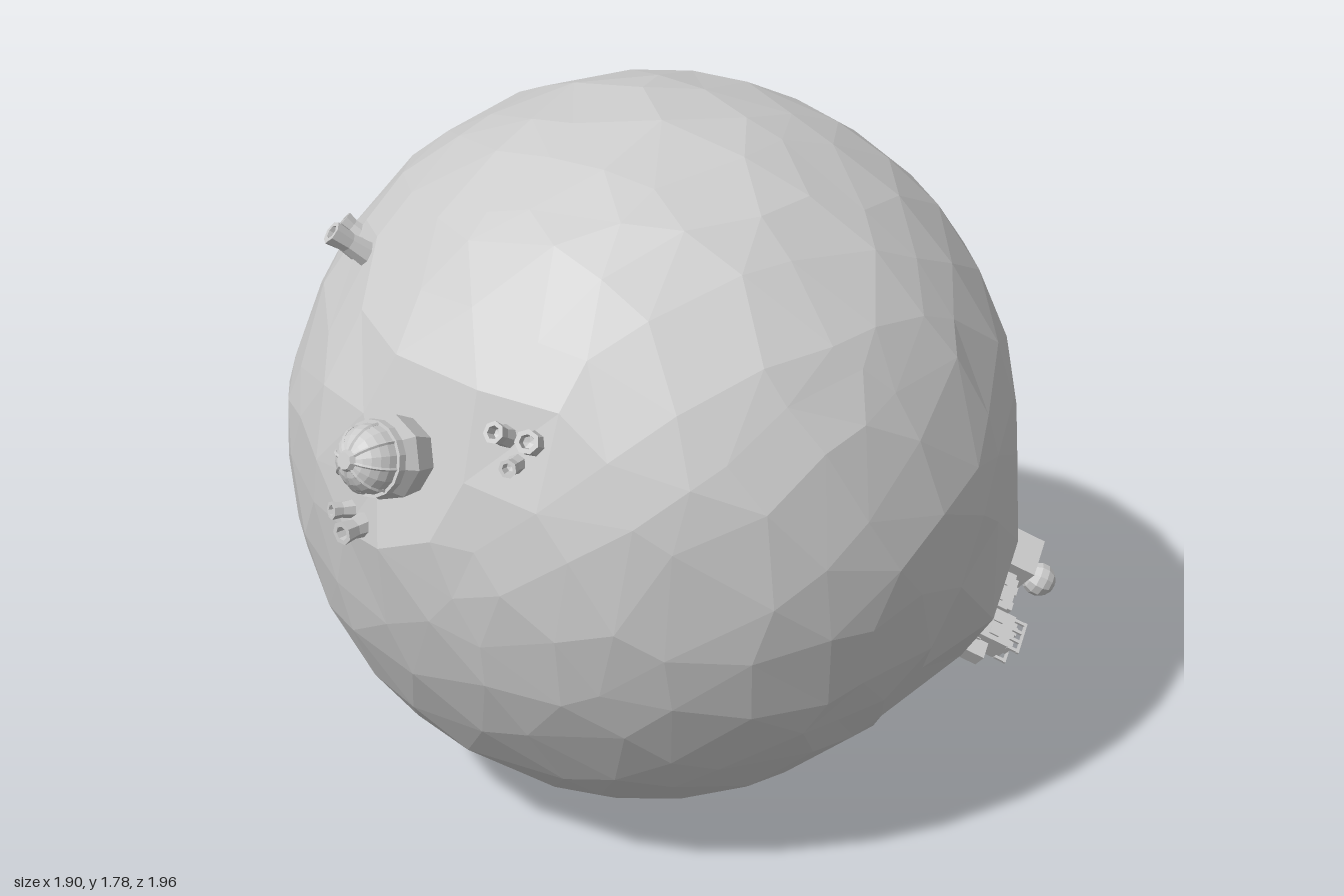
import * as THREE from 'three';

const CENTER = new THREE.Vector3(0.06, 0.89, 0.11);
const RADIUS = 0.89;
const UP = new THREE.Vector3(0, 1, 0);
const flat = new THREE.MeshStandardMaterial({ color: 0xcccccc, flatShading: true, side: THREE.DoubleSide });

const unit = (x, y, z) => new THREE.Vector3(x, y, z).normalize();
// The three raised plateaus: outward normal, height above the centre, angular size
const SITES = {
  dome: { n: unit(-0.93, 0.3, 0.2), h: 0.88, a: 0.3 },
  radio: { n: unit(0.24, -0.29, -0.9), h: 0.905, a: 0.31 },
  colony: { n: unit(0.68, -0.45, 0.58), h: 0.9, a: 0.32 },
};

function mesh(name, geometry, parent, x = 0, y = 0, z = 0) {
  const m = new THREE.Mesh(geometry, flat);
  m.name = name;
  m.position.set(x, y, z);
  parent.add(m);
  return m;
}
const box = (name, p, w, h, d, x, y, z) => mesh(name, new THREE.BoxGeometry(w, h, d), p, x, y, z);
const rod = (name, p, r1, r2, h, x, y, z, n = 8) => mesh(name, new THREE.CylinderGeometry(r1, r2, h, n), p, x, y, z);
const ball = (name, p, r, x, y, z) => mesh(name, new THREE.SphereGeometry(r, 10, 7), p, x, y, z);

// Group whose y axis follows a normal and whose z axis points uphill
function anchor(name, point, normal, twist = 0) {
  const g = new THREE.Group();
  g.name = name;
  const uphill = UP.clone().addScaledVector(normal, -normal.y).normalize();
  const side = normal.clone().cross(uphill);
  g.quaternion.setFromRotationMatrix(new THREE.Matrix4().makeBasis(side, normal, uphill));
  g.rotateY(twist);
  g.position.copy(point);
  return g;
}
const siteAnchor = (name, s, twist) => anchor(name, CENTER.clone().addScaledVector(s.n, s.h), s.n, twist);

// Repeatable noise from a position, so shared corners move together
function noise(v, k) {
  const q = Math.round(v.x * 500) * 12.9898 + Math.round(v.y * 500) * 78.233 + Math.round(v.z * 500) * 37.719 + k * 11.3;
  const s = Math.sin(q) * 43758.5453;
  return s - Math.floor(s) - 0.5;
}

// Faceted planetoid with the sites flattened into low plateaus
function planetoid() {
  const g = new THREE.IcosahedronGeometry(1, 5);
  const pos = g.attributes.position;
  const v = new THREE.Vector3();
  for (let i = 0; i < pos.count; i++) {
    v.fromBufferAttribute(pos, i);
    const j = [0, 1, 2].map((k) => noise(v, k) * 0.12);
    v.set(v.x + j[0], v.y + j[1], v.z + j[2]).normalize();
    let r = RADIUS + j[0] * 0.08;
    for (const s of Object.values(SITES)) {
      const c = v.dot(s.n);
      if (c > Math.cos(s.a)) r = s.h / c;
    }
    v.multiplyScalar(r).add(CENTER);
    pos.setXYZ(i, v.x, v.y, v.z);
  }
  g.computeVertexNormals();
  return g;
}

// Hollow, slightly flared chimney
function vent(parent, x, z, r, h, lean = 0) {
  const pts = [[r * 1.25, -0.03], [r * 0.85, h * 0.55], [r, h], [r * 0.6, h], [r * 0.5, h * 0.6], [0, h * 0.55]];
  const m = mesh('vent', new THREE.LatheGeometry(pts.map((p) => new THREE.Vector2(...p)), 7), parent, x, 0, z);
  m.rotation.set(z * lean, 0, -x * lean);
}

// Cluster of chimneys growing from the surface below a point
function ventCluster(x, y, z, list) {
  const n = new THREE.Vector3(x, y, z).sub(CENTER).normalize();
  const g = anchor('ventCluster', CENTER.clone().addScaledVector(n, RADIUS - 0.012), n);
  for (const [vx, vz, r, h] of list) vent(g, vx, vz, r, h, 6);
  return g;
}

// Ribbed observatory dome on a faceted drum
function observatory() {
  const g = siteAnchor('observatory', SITES.dome);
  rod('drumFoot', g, 0.1, 0.085, 0.07, 0, 0.025, 0);
  rod('drumTop', g, 0.085, 0.1, 0.035, 0, 0.0775, 0);
  rod('collar', g, 0.088, 0.088, 0.02, 0, 0.103, 0, 16);
  mesh('dome', new THREE.SphereGeometry(0.08, 16, 6, 0, Math.PI * 2, 0, Math.PI / 2), g, 0, 0.112, 0);
  for (let i = 0; i < 4; i++) {
    const rib = mesh('domeRib', new THREE.TorusGeometry(0.08, 0.004, 4, 12, Math.PI), g, 0, 0.112, 0);
    rib.rotation.y = (i * Math.PI) / 4;
  }
  rod('domeCap', g, 0.02, 0.028, 0.015, 0, 0.192, 0);
  return g;
}

// Landing pad, block house, antenna tower and small tank
function radioStation() {
  const g = siteAnchor('radioStation', SITES.radio);
  const pad = rod('landingPad', g, 0.08, 0.07, 0.025, 0, 0.03, 0.08, 20);
  const rim = mesh('padRim', new THREE.TorusGeometry(0.076, 0.006, 4, 20), pad, 0, 0.013, 0);
  rim.rotation.x = Math.PI / 2;
  rod('padStem', g, 0.03, 0.04, 0.04, 0, 0.005, 0.08);
  box('blockHouse', g, 0.13, 0.1, 0.09, -0.04, 0.03, -0.09);
  box('roofHatch', g, 0.035, 0.012, 0.05, 0.0, 0.085, -0.09);
  const t = new THREE.Group();
  t.name = 'antennaTower';
  t.position.set(-0.06, 0.08, -0.09);
  g.add(t);
  rod('towerShaft', t, 0.018, 0.024, 0.08, 0, 0.03, 0);
  rod('towerDeck', t, 0.036, 0.026, 0.022, 0, 0.06, 0);
  rod('towerHead', t, 0.02, 0.03, 0.025, 0, 0.085, 0);
  rod('needle', t, 0.002, 0.004, 0.085, 0, 0.135, 0, 5);
  rod('tankMast', g, 0.008, 0.008, 0.06, 0.035, 0.1, -0.1, 6);
  ball('tank', g, 0.03, 0.035, 0.13, -0.1);
  return g;
}

// Row of linked modules with windows, a round tank and a chimney
function colony() {
  const g = siteAnchor('colony', SITES.colony, 0.62);
  box('mainHall', g, 0.1, 0.14, 0.11, -0.125, 0.05, 0.01);
  rod('tankSeat', g, 0.025, 0.03, 0.02, -0.115, 0.125, -0.015);
  ball('roundTank', g, 0.043, -0.115, 0.16, -0.015);
  box('corridor', g, 0.26, 0.05, 0.045, 0, 0.025, 0);
  [[-0.015, 0.1, 0.09], [0.085, 0.085, 0.12]].forEach(([x, w, h]) => {
    box('module', g, w, h, 0.085, x, h / 2 - 0.005, 0);
    box('moduleRoof', g, w * 0.85, 0.012, 0.07, x, h, 0);
    for (const sx of [-1, 1]) {
      box('skylight', g, 0.022, 0.012, 0.035, x + sx * w * 0.22, h + 0.01, 0);
      for (const sz of [-1, 1]) box('window', g, 0.022, 0.025, 0.008, x + sx * w * 0.22, h * 0.6, sz * 0.044);
    }
  });
  // Posts and rails along the end module
  for (const sz of [-1, 1]) {
    for (let i = 0; i < 4; i++) box('railPost', g, 0.008, 0.03, 0.008, 0.05 + i * 0.025, 0.13, sz * 0.038);
    box('rail', g, 0.085, 0.006, 0.008, 0.0875, 0.145, sz * 0.038);
  }
  box('annex', g, 0.06, 0.08, 0.05, 0.14, 0.035, -0.01);
  rod('chimney', g, 0.024, 0.03, 0.13, 0.055, 0.06, -0.08);
  rod('chimneyLip', g, 0.03, 0.026, 0.018, 0.055, 0.125, -0.08);
  return g;
}

export function createModel() {
  const model = new THREE.Group();
  model.name = 'planetoidOutpost';
  mesh('planetoid', planetoid(), model);
  model.add(observatory(), radioStation(), colony());

  const single = [[0, 0, 0.028, 0.11]];
  const pair = [[-0.025, 0, 0.028, 0.08], [0.03, 0.015, 0.022, 0.055]];
  const trio = [[-0.03, 0.02, 0.028, 0.08], [0.03, 0.025, 0.026, 0.065], [0, -0.03, 0.022, 0.055]];
  model.add(
    ventCluster(-0.62, 1.48, -0.16, single),
    ventCluster(-0.56, 1.44, -0.26, pair),
    ventCluster(-0.66, 1.25, 0.56, trio),
    ventCluster(-0.86, 0.96, 0.17, pair),
    ventCluster(0.42, 0.92, -0.76, trio),
    ventCluster(-0.02, 0.35, -0.62, [[0, 0, 0.028, 0.1], [0.035, 0.01, 0.022, 0.06]]),
    ventCluster(0.43, 0.32, -0.51, trio),
    ventCluster(0.7, 0.34, 0.43, trio),
  );
  return model;
}
